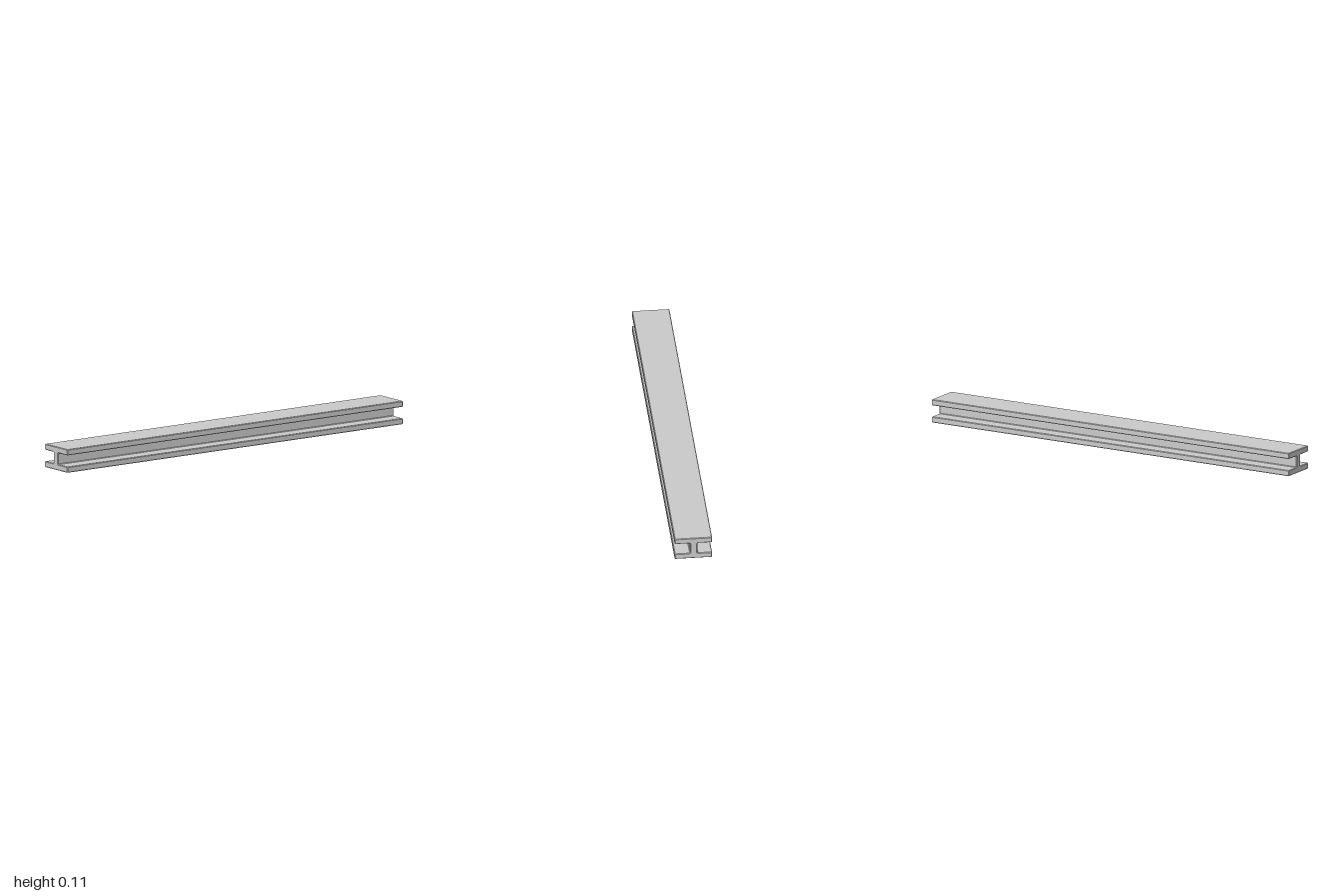
import * as THREE from 'three';

const LENGTH = 2, HALF_W = 0.09, HEIGHT = 0.113, FLANGE = 0.0285;
const WEB_L = -0.019, WEB_R = 0.015; // web sits slightly off centre
const BEVEL = 0.003;

// Closed outline with every corner cut back by c along both neighbouring edges
function chamferedShape(corners, c) {
  const pts = [];
  corners.forEach((p, i) => {
    const prev = corners[(i + corners.length - 1) % corners.length];
    const next = corners[(i + 1) % corners.length];
    for (const q of [prev, next]) {
      pts.push(p.clone().add(q.clone().sub(p).setLength(c)));
    }
  });
  return new THREE.Shape(pts);
}

export function createModel() {
  const group = new THREE.Group();
  group.name = 'iBeam';

  // I-shaped cross-section, counter-clockwise from the lower left
  const top = HEIGHT - FLANGE;
  const corners = [
    [-HALF_W, 0], [HALF_W, 0], [HALF_W, FLANGE], [WEB_R, FLANGE],
    [WEB_R, top], [HALF_W, top], [HALF_W, HEIGHT], [-HALF_W, HEIGHT],
    [-HALF_W, top], [WEB_L, top], [WEB_L, FLANGE], [-HALF_W, FLANGE],
  ].map(([x, y]) => new THREE.Vector2(x, y));

  // Beam body: extruded along z with small bevels at both ends
  const depth = LENGTH - 2 * BEVEL;
  const geometry = new THREE.ExtrudeGeometry(chamferedShape(corners, BEVEL), {
    depth,
    bevelEnabled: true,
    bevelThickness: BEVEL,
    bevelSize: BEVEL,
    bevelOffset: -BEVEL,
    bevelSegments: 1,
  });
  geometry.translate(0, 0, -depth / 2);

  const beam = new THREE.Mesh(
    geometry,
    new THREE.MeshStandardMaterial({ color: 0xcccccc, flatShading: true }),
  );
  beam.name = 'beam';
  group.add(beam);
  return group;
}
